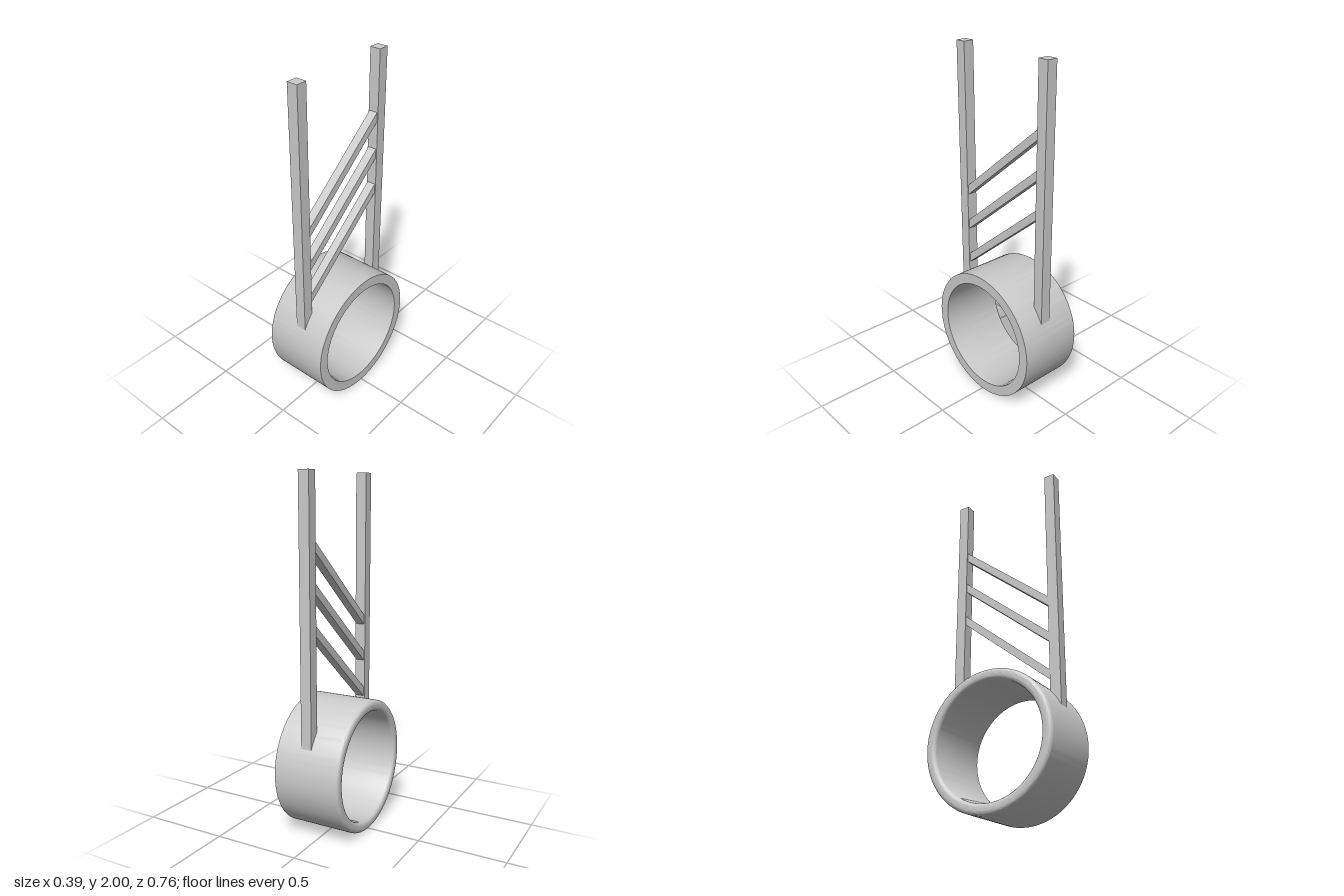
import * as THREE from 'three';
import { toCreasedNormals } from 'three/addons/utils/BufferGeometryUtils.js';

const material = new THREE.MeshStandardMaterial({ color: 0xcccccc });

function addPart(group, name, geometry, x = 0, y = 0, z = 0) {
  const mesh = new THREE.Mesh(geometry, material);
  mesh.name = name;
  mesh.position.set(x, y, z);
  group.add(mesh);
}

// Hollow band around the x axis, square at +x and rounded over at -x
function bandGeometry(inner, outer, half, fillet) {
  const profile = [new THREE.Vector2(inner, half)];
  const arc = (cx, from, to) => {
    for (let i = 0; i <= 6; i++) {
      const a = from + (to - from) * i / 6;
      profile.push(new THREE.Vector2(cx + fillet * Math.cos(a), -half + fillet + fillet * Math.sin(a)));
    }
  };
  arc(inner + fillet, Math.PI, Math.PI * 1.5);
  arc(outer - fillet, Math.PI * 1.5, Math.PI * 2);
  profile.push(new THREE.Vector2(outer, half), new THREE.Vector2(inner, half));
  const geometry = new THREE.LatheGeometry(profile, 128);
  geometry.rotateZ(-Math.PI / 2);
  return toCreasedNormals(geometry, 0.6);
}

// Slanted bar with upright ends, rising towards the back
function rungGeometry(reach, rise, height, width) {
  const shape = new THREE.Shape([
    new THREE.Vector2(-reach, 0),
    new THREE.Vector2(reach, rise),
    new THREE.Vector2(reach, rise + height),
    new THREE.Vector2(-reach, height),
  ]);
  const geometry = new THREE.ExtrudeGeometry(shape, { depth: width, bevelEnabled: false });
  geometry.translate(0, 0, -width / 2);
  return geometry.rotateY(Math.PI / 2);
}

export function createModel() {
  const model = new THREE.Group();
  model.name = 'ringWithLadder';
  const outer = 0.379, postX = 0.018, postBottom = 0.549;

  addPart(model, 'ring', bandGeometry(0.318, outer, 0.196, 0.022), 0, outer, 0);

  // Upright posts set into the ring
  const postHeight = 2 - postBottom;
  for (const [name, side] of [['frontPost', 1], ['backPost', -1]]) {
    addPart(model, name, new THREE.BoxGeometry(0.062, postHeight, 0.062),
      postX, postBottom + postHeight / 2, side * 0.307);
  }

  // Three slanted rungs between the posts
  const rung = rungGeometry(0.277, 0.463, 0.056, 0.05);
  [0.7, 0.92, 1.136].forEach((y, i) => addPart(model, `rung${i + 1}`, rung, postX, y, 0));

  return model;
}
